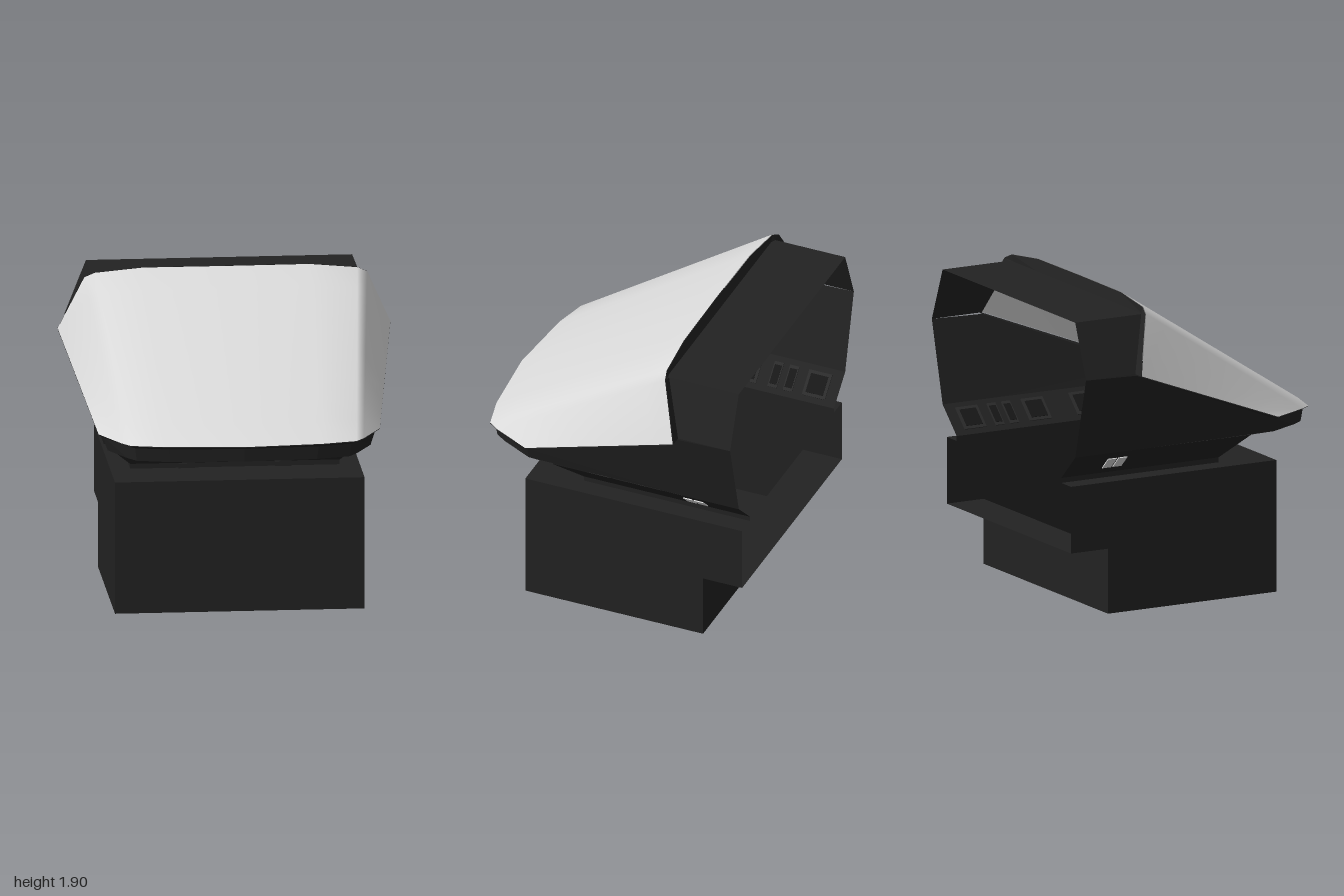
import * as THREE from 'three';

const mat = (name, color) => {
  const m = new THREE.MeshStandardMaterial({ color, side: THREE.DoubleSide });
  m.name = name;
  return m;
};

// Complete a right-left symmetric row given from the +x end to the middle
const mirror = half => {
  const other = half.filter(p => p[0] !== 0).map(([x, y, z]) => [-x, y, z]).reverse();
  return [...half, ...other];
};

// Smooth or faceted surface lofted straight between two rows of points
function loft(a, b, steps = 1, smooth = false) {
  const pos = [], idx = [], n = a.length;
  for (let r = 0; r <= steps; r++) {
    for (let i = 0; i < n; i++) {
      for (let k = 0; k < 3; k++) pos.push(a[i][k] + (b[i][k] - a[i][k]) * r / steps);
    }
  }
  for (let r = 0; r < steps; r++) {
    for (let i = 0; i < n - 1; i++) {
      const p = r * n + i, q = p + n;
      idx.push(p, p + 1, q, p + 1, q + 1, q);
    }
  }
  let g = new THREE.BufferGeometry();
  g.setAttribute('position', new THREE.Float32BufferAttribute(pos, 3));
  g.setIndex(idx);
  if (!smooth) g = g.toNonIndexed();
  g.computeVertexNormals();
  return g;
}

// Flat horizontal sheet from [x, z] corners
function sheet(points, y) {
  const g = new THREE.ShapeGeometry(new THREE.Shape(points.map(([x, z]) => new THREE.Vector2(x, -z))));
  return g.rotateX(-Math.PI / 2).translate(0, y, 0);
}

export function createModel() {
  const model = new THREE.Group();
  const dark = mat('charcoal', 0x222222);
  const light = mat('pale grey', 0xdddddd);
  const trim = mat('dark trim', 0x2b2b2b);
  const glass = mat('black screen', 0x171717);
  const add = (name, geo, m, parent = model) => {
    const mesh = new THREE.Mesh(geo, m);
    mesh.name = name;
    parent.add(mesh);
    return mesh;
  };
  const BACK = -0.885;

  // Hollow base, open at the back above the step
  const path = [[0.81, 0.53], [0, 0.53], [0, -0.63], [0.4, -0.63], [0.4, BACK]];
  add('baseShell', loft(path.map(([y, z]) => [0.75, y, z]), path.map(([y, z]) => [-0.75, y, z])), dark);
  const side = new THREE.Shape([...path, [0.81, BACK]].map(([y, z]) => new THREE.Vector2(-z, y)));
  for (const s of [-1, 1]) {
    add('baseSide', new THREE.ShapeGeometry(side).rotateY(Math.PI / 2).translate(0.75 * s, 0, 0), dark);
  }
  add('baseTop', sheet([[0.75, BACK], [0.75, 0.53], [-0.75, 0.53], [-0.75, BACK],
    [-0.63, BACK], [-0.63, 0.2], [0.63, 0.2], [0.63, BACK]], 0.81), dark);

  // Neck and flared console wall
  const neck = y => mirror([[0.63, y, BACK], [0.63, y, 0.2]]);
  const flare = mirror([[0.8, 1, BACK], [0.8, 1, 0.33]]);
  add('neck', loft(neck(0.84), neck(0.81)), dark);
  add('consoleWall', loft(flare, neck(0.84)), dark);
  for (const s of [-1, 1]) {
    add('neckBlock', new THREE.BoxGeometry(0.1, 0.03, 0.02).translate(0.29 * s, 0.825, 0.205), dark);
  }

  // Front deck and cabin wall under the canopy
  const bottom = mirror([[0.8, 1, BACK], [0.8, 1, -0.54], [0.79, 1, 0.49], [0.69, 1, 0.69],
    [0.64, 1, 0.76], [0.44, 1, 0.81], [0, 1, 0.835]]);
  const top = mirror([[0.93, 1.5, BACK], [0.93, 1.49, -0.54], [0.815, 1.08, 0.49], [0.7, 1.08, 0.7],
    [0.65, 1.08, 0.77], [0.45, 1.08, 0.82], [0, 1.08, 0.845]]);
  add('cabinWall', loft(top, bottom), dark);
  add('frontDeck', sheet([[0.8, 0.33], ...bottom.slice(2, -2).map(p => [p[0], p[2]]), [-0.8, 0.33]], 1), dark);

  // Canopy, lofted from its lower edge to its upper edge
  const lower = mirror([[0.845, 1.1, 0.49], [0.73, 1.1, 0.72], [0.68, 1.1, 0.79], [0.47, 1.1, 0.84], [0, 1.1, 0.88]]);
  const upper = mirror([[1, 1.5, -0.54], [0.85, 1.84, -0.425], [0.79, 1.87, -0.41], [0.5, 1.9, -0.395], [0, 1.9, -0.39]]);
  add('canopy', loft(upper, lower, 8, true), light);

  // Rim joining the canopy edge to the cabin wall
  const rimEdge = [[1, 1.495, -0.54], ...lower.map(([x, y, z]) => [x, y - 0.004, z]), [-1, 1.495, -0.54]];
  add('canopyRim', loft(rimEdge, top.slice(1, -1)), dark);

  // Rear hood, open at the back, with a flange to the canopy
  const hood = z => mirror([[0.93, 1.5, z[0]], [0.8, 1.83, z[1]]]);
  add('hood', loft(hood([BACK, BACK]), hood([-0.54, -0.41])), dark);
  const inner = mirror([[0.93, 1.5, -0.545], [0.8, 1.83, -0.43], [0.77, 1.83, -0.415], [0.5, 1.83, -0.415], [0, 1.83, -0.415]]);
  add('hoodFlange', loft(inner, upper.map(([x, y, z]) => [x, y, z - 0.005])), dark);

  // Thin instruments on the sloping inner walls
  const instrument = (parent, along, width) => {
    const place = (geo, h) => geo.translate(along, h, 0);
    add('instrumentFrame', place(new THREE.BoxGeometry(width, 0.006, 0.16), 0.004), trim, parent);
    add('instrumentScreen', place(new THREE.BoxGeometry(width * 0.75, 0.004, 0.12), 0.008), glass, parent);
  };
  const frontPanel = new THREE.Group();
  frontPanel.name = 'frontPanel';
  frontPanel.position.set(0, 0.92, 0.265);
  frontPanel.rotation.x = -Math.atan2(0.16, 0.13);
  for (const x of [-0.5, -0.2, 0.2, 0.5]) instrument(frontPanel, x, 0.16);
  model.add(frontPanel);
  add('lever', new THREE.BoxGeometry(0.012, 0.1, 0.012).translate(0.31, 0.91, 0.23), light);

  for (const s of [-1, 1]) {
    const panel = new THREE.Group();
    panel.name = s > 0 ? 'leftConsole' : 'rightConsole';
    panel.position.set(0.715 * s, 0.92, 0);
    panel.rotation.set(0, s * Math.PI / 2, s * Math.atan2(0.16, 0.17), 'ZYX');
    for (const [z, w] of [[-0.74, 0.15], [-0.57, 0.06], [-0.47, 0.06], [-0.29, 0.15], [0.04, 0.15]]) {
      instrument(panel, -s * z, w);
    }
    // Pale vents on the outside
    for (const z of [-0.53, -0.602]) {
      add('sideVent', new THREE.BoxGeometry(0.06, 0.006, 0.1).translate(-s * z, -0.004, 0), light, panel);
    }
    model.add(panel);
  }
  return model;
}
